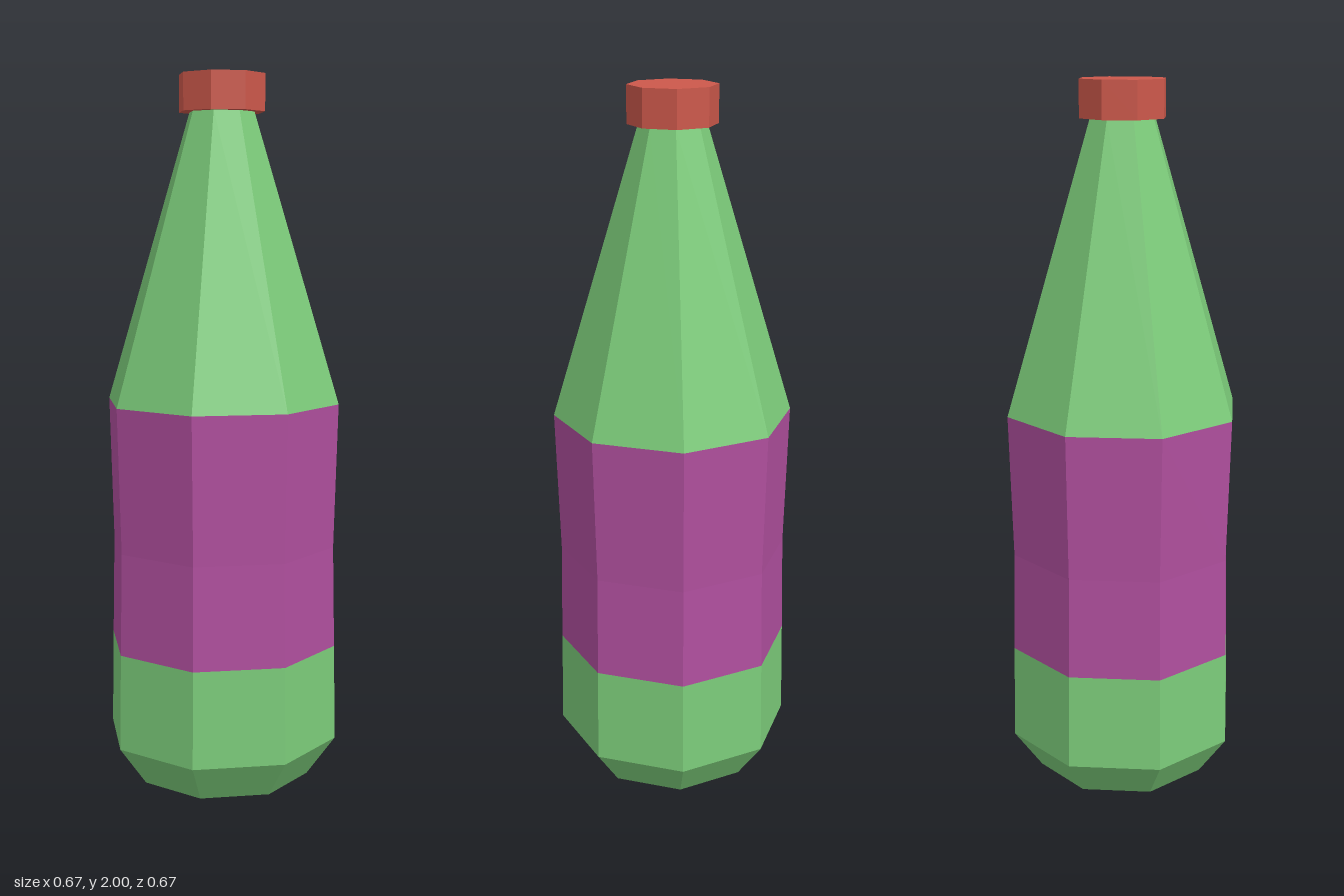
import * as THREE from 'three';

const SIDES = 8;

// Faceted ring of revolution from [radius, height] pairs, listed bottom to top
function turned(name, color, profile) {
  const points = profile.map(([r, y]) => new THREE.Vector2(r, y));
  const material = new THREE.MeshStandardMaterial({ color, flatShading: true });
  const mesh = new THREE.Mesh(new THREE.LatheGeometry(points, SIDES), material);
  mesh.name = name;
  return mesh;
}

export function createModel() {
  const bottle = new THREE.Group();
  bottle.name = 'bottle';
  const green = 0x7ccc7a, purple = 0xb04f9e, red = 0xcc584b;

  bottle.add(
    // Closed base with a chamfered foot
    turned('base', green, [[0, 0], [0.255, 0], [0.337, 0.115], [0.332, 0.39]]),
    // Label band, very slightly waisted
    turned('label', purple, [[0.332, 0.39], [0.326, 0.68], [0.337, 1.09]]),
    // Long tapering neck
    turned('neck', green, [[0.337, 1.09], [0.093, 1.897]]),
    // Overhanging closed cap
    turned('cap', red, [[0, 1.897], [0.123, 1.897], [0.123, 2], [0, 2]]),
  );
  return bottle;
}
